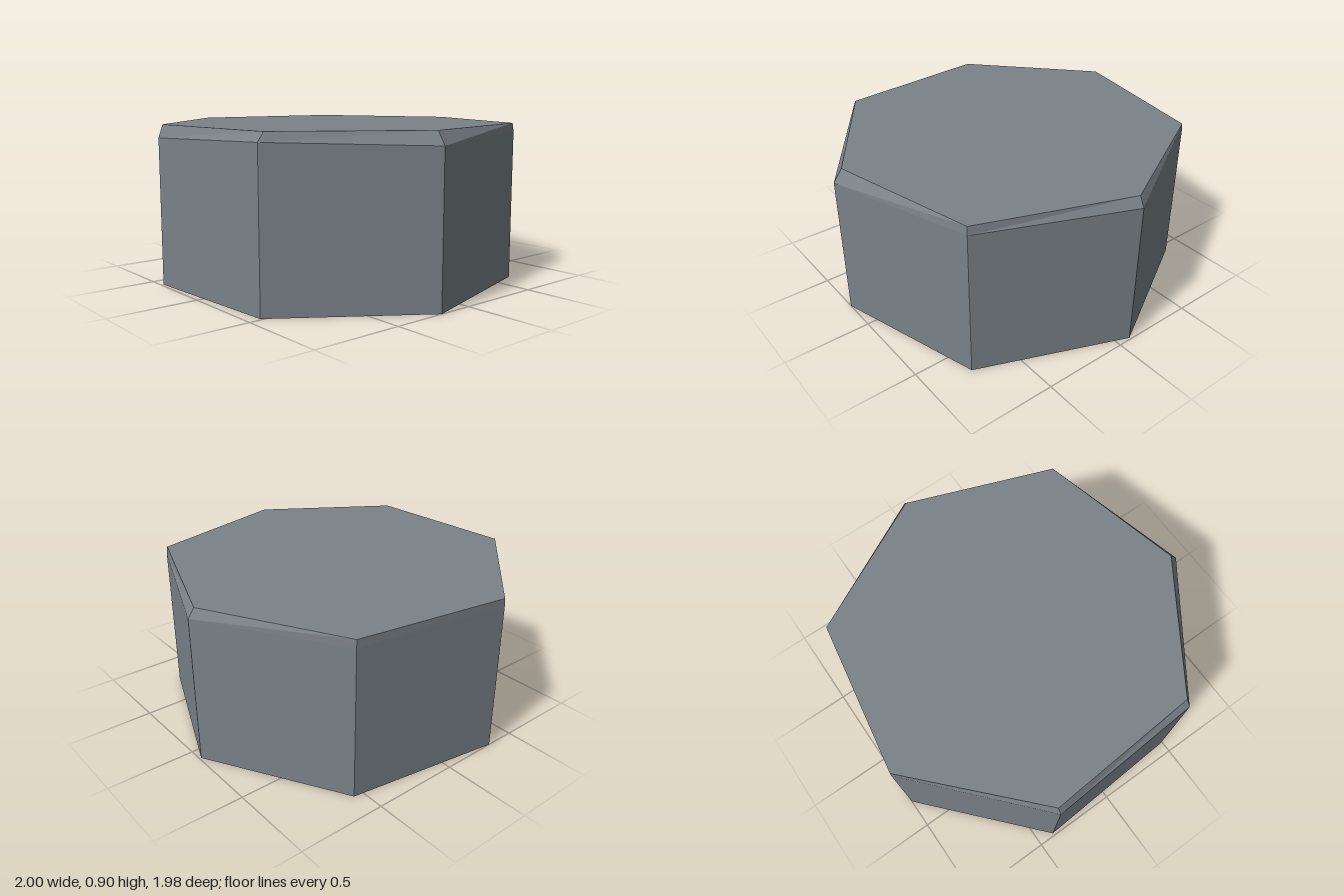
import * as THREE from 'three';

// Heptagon corners: wall x, z, wall top y, then lid x, z
const corners = [
  [-0.08, -0.99, 0.85, -0.085, -0.955],
  [0.75, -0.655, 0.857, 0.745, -0.65],
  [1.0, 0.2, 0.832, 0.95, 0.195],
  [0.487, 0.93, 0.855, 0.487, 0.895],
  [-0.403, 0.985, 0.832, -0.403, 0.958],
  [-1.0, 0.325, 0.855, -0.998, 0.323],
  [-0.857, -0.555, 0.857, -0.855, -0.553],
];
const HEIGHT = 0.905;

// Strip of flat quads joining two rings of points
function band(lower, upper) {
  const pos = [];
  lower.forEach((a, i) => {
    const j = (i + 1) % lower.length;
    const b = lower[j], c = upper[j], d = upper[i];
    pos.push(...a, ...d, ...b, ...b, ...d, ...c);
  });
  return toGeometry(pos);
}

// Flat polygon filled as a fan
function cap(ring) {
  const pos = [];
  for (let i = 1; i < ring.length - 1; i++) pos.push(...ring[0], ...ring[i + 1], ...ring[i]);
  return toGeometry(pos);
}

function toGeometry(pos) {
  const g = new THREE.BufferGeometry();
  g.setAttribute('position', new THREE.Float32BufferAttribute(pos, 3));
  g.computeVertexNormals();
  return g;
}

export function createModel() {
  const group = new THREE.Group();
  group.name = 'heptagonalCap';
  const grey = new THREE.MeshStandardMaterial({ color: 0x7a8288, side: THREE.DoubleSide, flatShading: true });
  grey.name = 'slate grey';

  const base = corners.map(([x, z]) => [x, 0, z]);
  const shoulder = corners.map(([x, z, y]) => [x, y, z]);
  const rim = corners.map(([, , , x, z]) => [x, HEIGHT, z]);

  // Open-bottomed shell: walls, uneven bevel and flat lid
  const parts = { walls: band(base, shoulder), bevel: band(shoulder, rim), lid: cap(rim) };
  for (const [name, geometry] of Object.entries(parts)) {
    const mesh = new THREE.Mesh(geometry, grey);
    mesh.name = name;
    group.add(mesh);
  }
  return group;
}
